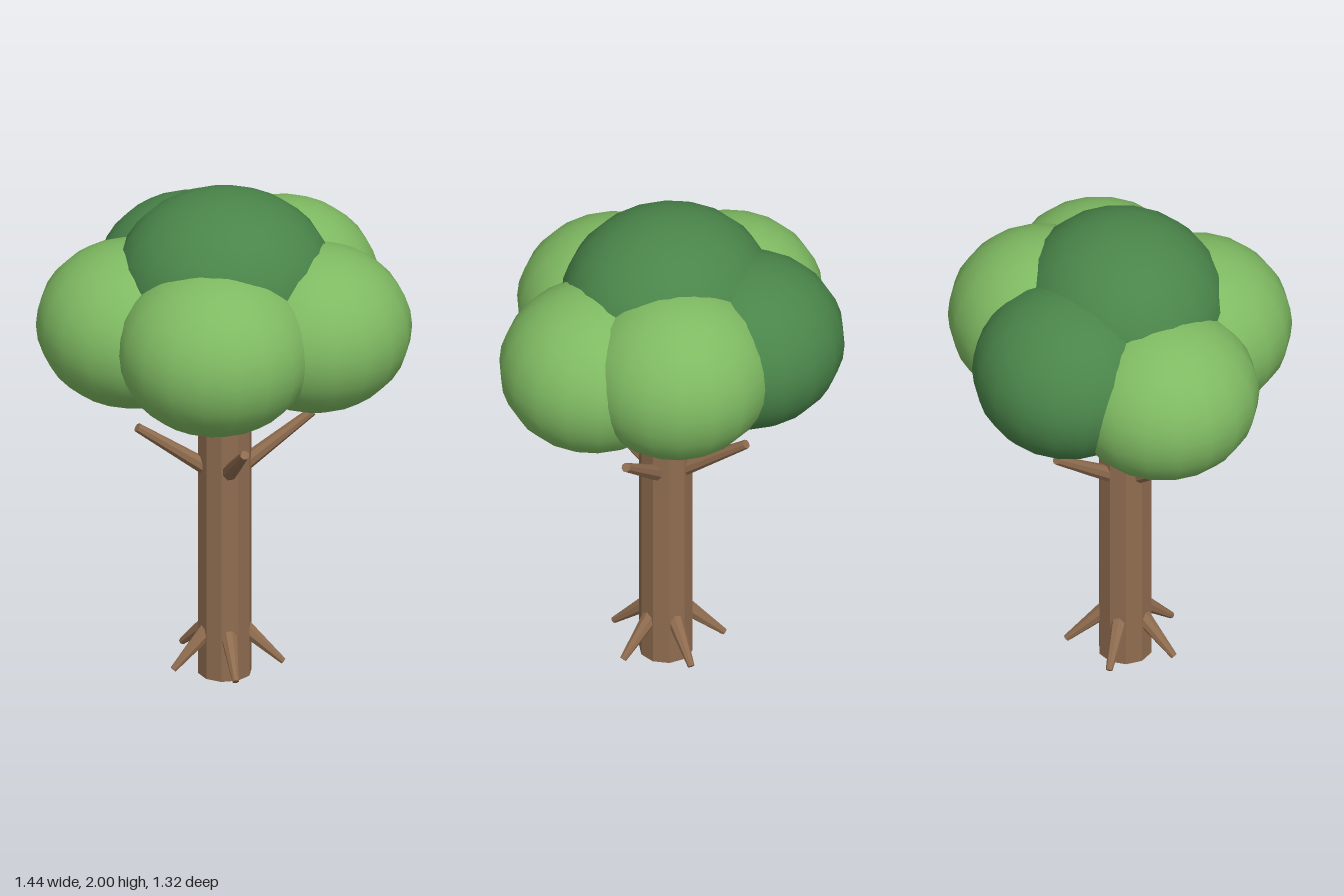
import * as THREE from 'three';

export function createModel() {
  const model = new THREE.Group();
  model.name = 'tree';

  const mat = (name, color, flatShading = false) => {
    const m = new THREE.MeshStandardMaterial({ color, flatShading });
    m.name = name;
    return m;
  };
  const bark = mat('bark brown', 0x8f6c4f, true);
  const light = mat('light leaf green', 0x7fba62);
  const dark = mat('dark leaf green', 0x4a854a);

  const add = (name, geometry, material) => {
    const mesh = new THREE.Mesh(geometry, material);
    mesh.name = name;
    model.add(mesh);
    return mesh;
  };

  // Ten-sided trunk
  const trunk = add('trunk', new THREE.CylinderGeometry(0.104, 0.104, 1.15, 10), bark);
  trunk.position.y = 0.575;

  // Tapered limb leaving the trunk at a compass angle, given as [radius, height] ends
  const up = new THREE.Vector3(0, 1, 0);
  const limb = (name, angle, [r0, y0], [r1, y1], thick, thin) => {
    const at = (r, y) => new THREE.Vector3(r * Math.cos(angle), y, r * Math.sin(angle));
    const a = at(r0, y0), b = at(r1, y1);
    const mesh = add(name, new THREE.CylinderGeometry(thin, thick, a.distanceTo(b), 8), bark);
    mesh.position.copy(a).add(b).multiplyScalar(0.5);
    mesh.quaternion.setFromUnitVectors(up, b.sub(a).normalize());
  };

  // Four branches, turned 20 degrees off the axes
  for (let i = 0; i < 4; i++) {
    limb('branch' + (i + 1), i * Math.PI / 2 - 0.35, [0.08, 0.87], [0.345, 1.06], 0.032, 0.018);
  }

  // Five roots
  for (let i = 0; i < 5; i++) {
    limb('root' + (i + 1), i * Math.PI * 2 / 5, [0.07, 0.195], [0.226, 0.055], 0.034, 0.013);
  }

  // Leaf clumps: name, centre, radii, colour
  const clumps = [
    ['topFoliage', [0, 1.64, -0.01], [0.425, 0.36, 0.4], dark],
    ['leftFoliage', [0.35, 1.48, 0.025], [0.375, 0.325, 0.365], light],
    ['rightFoliage', [-0.35, 1.457, 0.025], [0.375, 0.323, 0.37], light],
    ['frontFoliage', [0, 1.48, 0.285], [0.38, 0.33, 0.372], light],
    ['backLeftFoliage', [0.19, 1.527, -0.265], [0.375, 0.337, 0.365], light],
    ['backRightFoliage', [-0.16, 1.515, -0.29], [0.375, 0.335, 0.37], dark],
  ];
  for (const [name, centre, radii, material] of clumps) {
    const ball = new THREE.SphereGeometry(1, 18, 16);
    ball.rotateY(Math.PI / 2).scale(...radii);
    add(name, ball, material).position.set(...centre);
  }

  return model;
}
